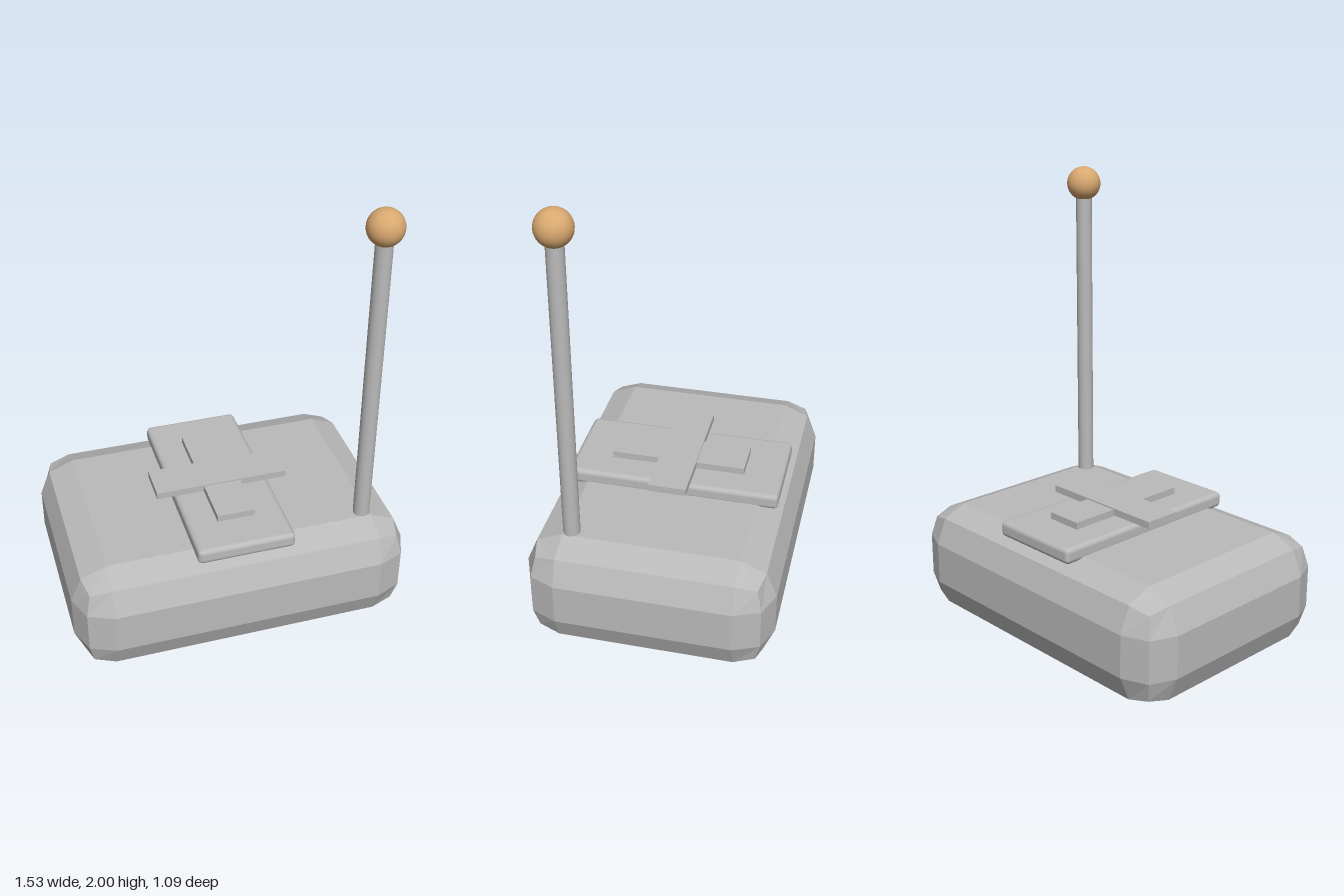
import * as THREE from 'three';
import { RoundedBoxGeometry } from 'three/addons/geometries/RoundedBoxGeometry.js';

export function createModel() {
  const group = new THREE.Group();
  const grey = new THREE.MeshStandardMaterial({ color: 0xbababa });
  grey.name = 'grey';
  const greyFaceted = new THREE.MeshStandardMaterial({ color: 0xbababa, flatShading: true });
  greyFaceted.name = 'greyFaceted';
  const tan = new THREE.MeshStandardMaterial({ color: 0xd9a870 });
  tan.name = 'tan';

  const add = (name, geometry, material, x, y, z) => {
    const mesh = new THREE.Mesh(geometry, material);
    mesh.name = name;
    mesh.position.set(x, y, z);
    group.add(mesh);
  };

  // Chunky bevelled body
  add('body', new RoundedBoxGeometry(1.53, 0.51, 1.09, 1, 0.16), greyFaceted, 0, 0.255, 0);

  // Raised plate with a cross-shaped control pad
  add('plate', new RoundedBoxGeometry(0.44, 0.072, 0.956, 2, 0.022), grey, 0, 0.529, 0);
  add('padLengthBar', new THREE.BoxGeometry(0.17, 0.032, 0.606), grey, 0, 0.58, 0);
  add('padCrossBar', new THREE.BoxGeometry(0.606, 0.032, 0.17), grey, 0, 0.586, 0);

  // Antenna with a ball tip at the front left corner
  add('antennaRod', new THREE.CylinderGeometry(0.037, 0.037, 1.4, 24), grey, 0.573, 1.2, 0.35);
  add('antennaTip', new THREE.SphereGeometry(0.078, 32, 20), tan, 0.573, 1.922, 0.35);

  return group;
}
